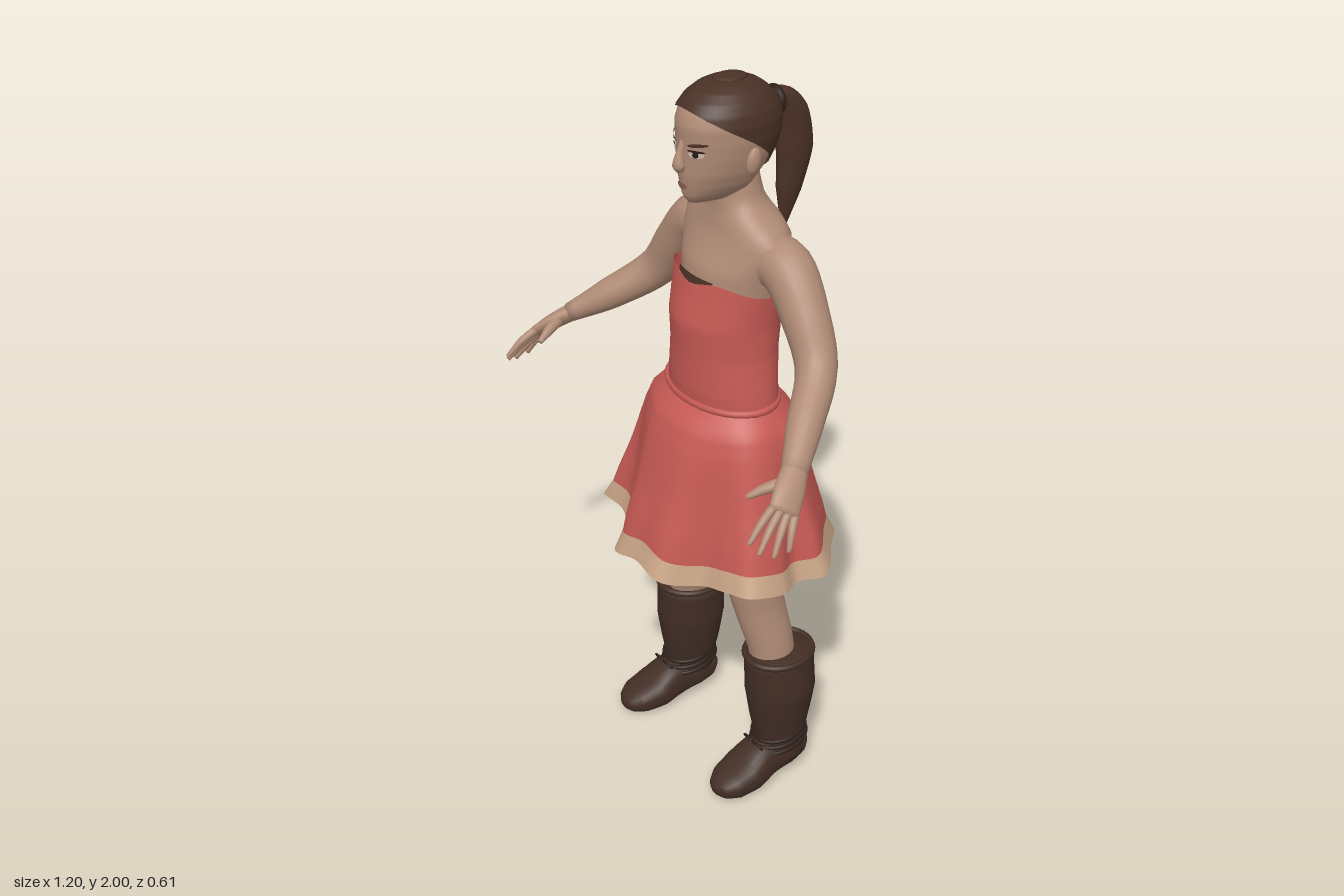
import * as THREE from 'three';

const mat = (name, color, open) => {
  const m = new THREE.MeshStandardMaterial({ color });
  m.name = name;
  if (open) m.side = THREE.DoubleSide;
  return m;
};

// Grid surface: fn(a, b) gives a point, a runs around and b along
function grid(nu, nv, fn, closed = true) {
  const pos = [], idx = [], w = closed ? nu : nu + 1;
  for (let i = 0; i <= nv; i++)
    for (let j = 0; j < w; j++) pos.push(...fn(j / nu, i / nv));
  for (let i = 0; i < nv; i++)
    for (let j = 0; j < nu; j++) {
      const k = (j + 1) % w, a = i * w + j, b = i * w + k;
      idx.push(a, b, b + w, a, b + w, a + w);
    }
  const g = new THREE.BufferGeometry();
  g.setAttribute('position', new THREE.Float32BufferAttribute(pos, 3));
  g.setIndex(idx);
  g.computeVertexNormals();
  return g;
}

// Closed limb along a path of [x, y, z, radiusU, radiusV]; p below 1 makes it boxier
function limb(pts, ref = [0, 0, 1], sides = 20, p = 1) {
  const curve = new THREE.CatmullRomCurve3(pts.map(q => new THREE.Vector3(q[0], q[1], q[2])));
  const R = new THREE.Vector3(...ref), n = pts.length - 1, steps = n * 5;
  const pow = v => Math.sign(v) * Math.abs(v) ** p;
  return grid(sides, steps + 2, (a, b) => {
    const row = Math.round(b * (steps + 2)) - 1;
    const s = THREE.MathUtils.clamp(row / steps, 0, 1);
    const cap = row < 0 || row > steps ? 0 : 1;
    const c = curve.getPoint(s), t = curve.getTangent(s);
    const u = t.clone().cross(R).normalize(), v = t.clone().cross(u);
    const i = Math.min(n - 1, Math.floor(s * n)), f = s * n - i;
    const r = k => THREE.MathUtils.lerp(pts[i][k] ?? pts[i][3], pts[i + 1][k] ?? pts[i + 1][3], f) * cap;
    return c.addScaledVector(u, pow(Math.cos(a * 2 * Math.PI)) * r(3))
      .addScaledVector(v, pow(Math.sin(a * 2 * Math.PI)) * r(4)).toArray();
  });
}

// Upright body surface from rows of [y, zFront, zBack, halfWidth]; angle 0 is the front
const body = (rows, zc) => (th, y, out = 0) => {
  let i = 0;
  while (i < rows.length - 2 && y > rows[i + 1][0]) i++;
  const f = THREE.MathUtils.clamp((y - rows[i][0]) / (rows[i + 1][0] - rows[i][0]), 0, 1);
  const [zf, zb, rx] = [1, 2, 3].map(k => THREE.MathUtils.lerp(rows[i][k], rows[i + 1][k], f));
  const c = Math.cos(th);
  return [(rx + out) * Math.sin(th), y, zc + c * ((c > 0 ? zf - zc : zc - zb) + out)];
};
const wrap = (fn, lo, hi, nv, out = 0) => grid(48, nv, (a, b) => {
  const th = a * 2 * Math.PI;
  return fn(th, THREE.MathUtils.lerp(lo(th), hi(th), b), out);
});

function mirrored(g) {
  const m = g.clone().scale(-1, 1, 1), ix = m.index.array;
  for (let i = 0; i < ix.length; i += 3) [ix[i], ix[i + 1]] = [ix[i + 1], ix[i]];
  return m;
}

export function createModel() {
  const root = new THREE.Group();
  root.name = 'girl';
  const skin = mat('skin', 0xb08b75), dress = mat('dress red', 0xc75a54, true);
  const trim = mat('trim tan', 0xc6a284, true), hair = mat('hair brown', 0x4a3126, true);
  const leather = mat('boot leather', 0x422e25), lace = mat('lace dark', 0x2f201a);
  const lip = mat('lips', 0x8f6256, true), white = mat('eye white', 0xc9bdb2, true);
  const dark = mat('eye dark', 0x2a1d18, true);
  const add = (name, g, m) => {
    const mesh = new THREE.Mesh(g, m);
    mesh.name = name;
    root.add(mesh);
  };
  const pair = (name, g, m) => {
    add('left ' + name, g, m);
    add('right ' + name, mirrored(g), m);
  };
  const ring = (r, tube, pos, scale, tilt = Math.PI / 2) =>
    new THREE.TorusGeometry(r, tube, 8, 32).rotateX(tilt).scale(...scale).translate(...pos);

  // Trunk and neck
  const trunk = body([[1.1, .07, -.11, .15], [1.2, .08, -.12, .15], [1.45, .065, -.15, .15],
    [1.52, .055, -.17, .163], [1.57, .03, -.175, .18], [1.61, .015, -.17, .178], [1.64, .01, -.16, .145],
    [1.665, .005, -.145, .1], [1.69, .005, -.13, .077], [1.73, .005, -.12, .067], [1.78, 0, -.11, .06]], -.06);
  add('trunk', wrap(trunk, () => 1.1, () => 1.78, 40), skin);

  // Head, with hair and face features laid on its surface
  const head = body([[1.694, .06, -.02, .012], [1.702, .08, -.04, .035], [1.72, .092, -.065, .056], [1.745, .096, -.09, .074],
    [1.78, .1, -.125, .09], [1.82, .099, -.152, .1], [1.86, .099, -.168, .106], [1.9, .1, -.17, .107],
    [1.93, .09, -.16, .1], [1.955, .07, -.14, .086], [1.975, .04, -.115, .065], [1.988, .005, -.085, .04],
    [1.994, -.035, -.045, .004]], -.04);
  add('head', wrap(head, () => 1.694, () => 1.994, 40), skin);
  add('hair', wrap(head, th => 1.845 + .095 * Math.cos(th) + .012 * Math.sin(th) ** 2, () => 1.994, 28, .007), hair);
  add('crown', new THREE.SphereGeometry(.035, 20, 8).scale(1, .3, 1.3).translate(0, 1.99, -.042), hair);
  const patch = (x, y, w, h, out, slope = 0) => grid(10, 6, (a, b) => {
    const px = x + (a - .5) * w;
    const arch = Math.sqrt(Math.max(0, 1 - (2 * a - 1) ** 2)) * (b - .5) * h;
    return head(Math.asin(px / .104), y + arch + slope * (a - .5), out);
  }, false);
  pair('eye', patch(.043, 1.838, .036, .016, .002), white);
  pair('iris', patch(.043, 1.838, .014, .015, .0035), dark);
  pair('eyelid', patch(.043, 1.847, .04, .006, .004), dark);
  pair('eyebrow', patch(.045, 1.862, .046, .009, .003, .008), hair);
  add('mouth', patch(0, 1.75, .05, .016, .004), lip);
  add('nose', limb([[0, 1.865, .092, .007], [0, 1.83, .102, .01, .012], [0, 1.803, .106, .017, .016], [0, 1.79, .1, .012, .012]]), skin);
  pair('ear', new THREE.SphereGeometry(1, 14, 10).scale(.012, .034, .02).rotateX(-.2).translate(.107, 1.815, -.035), skin);

  // Ponytail
  add('ponytail', limb([[0, 1.9, -.15, .03], [0, 1.905, -.195, .03], [0, 1.86, -.228, .045, .036], [0, 1.77, -.24, .052, .038],
    [0, 1.66, -.225, .036, .026], [0, 1.55, -.208, .004]], [1, 0, 0]).clone(), hair);
  add('hair tie', ring(.03, .009, [0, 1.904, -.178], [1, 1, 1], 0), lace);

  // Bodice with a curved neckline and a dark lining at the front
  const bodice = body([[1.15, .095, -.14, .176], [1.2, .1, -.14, .172], [1.3, .1, -.15, .158],
    [1.38, .105, -.162, .157], [1.45, .087, -.176, .163], [1.52, .072, -.178, .168]], -.035);
  const neckline = th => {
    const d = Math.atan2(Math.sin(th), Math.cos(th));
    return 1.485 + .022 * Math.cos(th) + .01 * Math.cos(th * 2) - .03 * Math.exp(-((d / .4) ** 2));
  };
  add('bodice', wrap(bodice, () => 1.15, neckline, 24), dress);
  add('bodice lining', grid(12, 3, (a, b) => {
    const th = (a - .5) * .9;
    return bodice(th, 1.462 + b * .042, -.007);
  }, false), hair);
  add('waistband', ring(1, .05, [0, 1.165, -.022], [.178, .2, .122]), dress);

  // Flared skirt, blending from the waist into a pleated hem outline
  const hem = new THREE.CatmullRomCurve3([[0, .26], [.1, .26], [.17, .17], [.25, .15], [.32, .12], [.335, .02], [.3, -.05],
    [.33, -.12], [.25, -.2], [.16, -.28], [.06, -.3], [.04, -.24], [-.02, -.22], [-.1, -.25], [-.16, -.28],
    [-.22, -.21], [-.29, -.19], [-.305, -.1], [-.275, -.04], [-.32, .03], [-.295, .09], [-.32, .15],
    [-.22, .155], [-.15, .19], [-.1, .26]].map(([x, z]) => new THREE.Vector3(x, 0, z)), true);
  const flare = [0, .3, .42, .5, .57, .64, .72, .8, .86, 1];
  const skirt = (a, t) => {
    const h = hem.getPoint(a), th = Math.atan2(h.x, h.z + .02), s = Math.sin(th), c = Math.cos(th);
    const k = t * 9, i = Math.min(8, Math.floor(k)), f = THREE.MathUtils.lerp(flare[i], flare[i + 1], k - i);
    const mix = Math.min(1, .1 + t), low = .712 + .014 * Math.sin(th * 6 + 1);
    const tx = THREE.MathUtils.lerp(.32 * s, h.x, mix), tz = THREE.MathUtils.lerp(-.02 + .265 * c, h.z, mix);
    return [THREE.MathUtils.lerp(.178 * s, tx, f), 1.165 + (low - 1.165) * t,
      THREE.MathUtils.lerp(-.022 + .12 * c, tz, f)];
  };
  add('skirt', grid(150, 24, (a, b) => skirt(a, .885 * (1 - b))), dress);
  add('skirt trim', grid(150, 4, (a, b) => skirt(a, 1 - .115 * b)), trim);

  // Arms
  pair('arm', limb([[.09, 1.545, -.08, .07], [.18, 1.55, -.082, .07, .068], [.265, 1.462, -.075, .062, .06], [.34, 1.355, -.055, .053, .052],
    [.425, 1.268, .045, .043, .045], [.495, 1.207, .128, .026, .033]]), skin);

  // Hands: flat palm, four fingers fanned across it and a thumb
  pair('palm', limb([[.485, 1.215, .115, .025, .032], [.52, 1.182, .16, .021, .04], [.55, 1.147, .2, .015, .04]]), skin);
  [[.55, 1.1, .3], [.572, 1.078, .287], [.587, 1.065, .255], [.592, 1.068, .215]].forEach((tip, i) => {
    const k = (i - 1.5) * .019, base = [.547 + .47 * k, 1.15 - .47 * k, .197 - .75 * k];
    const mid = tip.map((v, q) => v * .5 + base[q] * .5);
    mid[1] += .006;
    pair('finger ' + (i + 1), limb([[...base, .0115], [...mid, .0105], [...tip, .006]], [0, 0, 1], 10), skin);
  });
  pair('thumb', limb([[.505, 1.195, .155, .017], [.482, 1.182, .205, .014], [.465, 1.165, .245, .007]], [0, 1, 0], 10), skin);

  // Legs
  pair('leg', limb([[.09, 1.1, -.03, .085], [.12, .9, -.02, .085, .09], [.15, .7, -.01, .067, .084], [.166, .56, -.027, .06, .073],
    [.186, .45, -.047, .06, .066], [.2, .36, -.055, .055, .062]]), skin);

  // Boots: shaft, rolled rim, foot and laces
  pair('boot shaft', limb([[.208, .415, -.063, .089, .099], [.214, .3, -.065, .093, .1], [.215, .2, -.065, .076, .086],
    [.218, .14, -.065, .064, .074], [.22, .06, -.07, .058, .066]], [0, 0, 1], 28), leather);
  pair('boot rim', ring(1, .09, [.208, .413, -.063], [.086, .1, .096]), leather);
  pair('boot foot', limb([[.214, .06, -.142, .022, .016], [.215, .07, -.125, .046, .036], [.217, .075, -.07, .06, .047],
    [.22, .075, 0, .06, .06], [.224, .053, .06, .069, .048], [.228, .041, .12, .06, .037], [.23, .034, .155, .036, .022],
    [.231, .032, .166, .014, .01]], [0, 1, 0], 24, .8), leather);
  [.115, .135, .155].forEach((y, i) =>
    pair('lace ' + (i + 1), ring(1, .07, [.218, y, -.06], [.066, .09, .077 + .004 * (2 - i)], Math.PI / 2 + .12), lace));
  for (const s of [-1, 1])
    pair('bow loop ' + (s + 2), ring(.016, .004, [.22 + s * .018, .135, .028], [1.2, .7, 1], .4), lace);

  return root;
}
